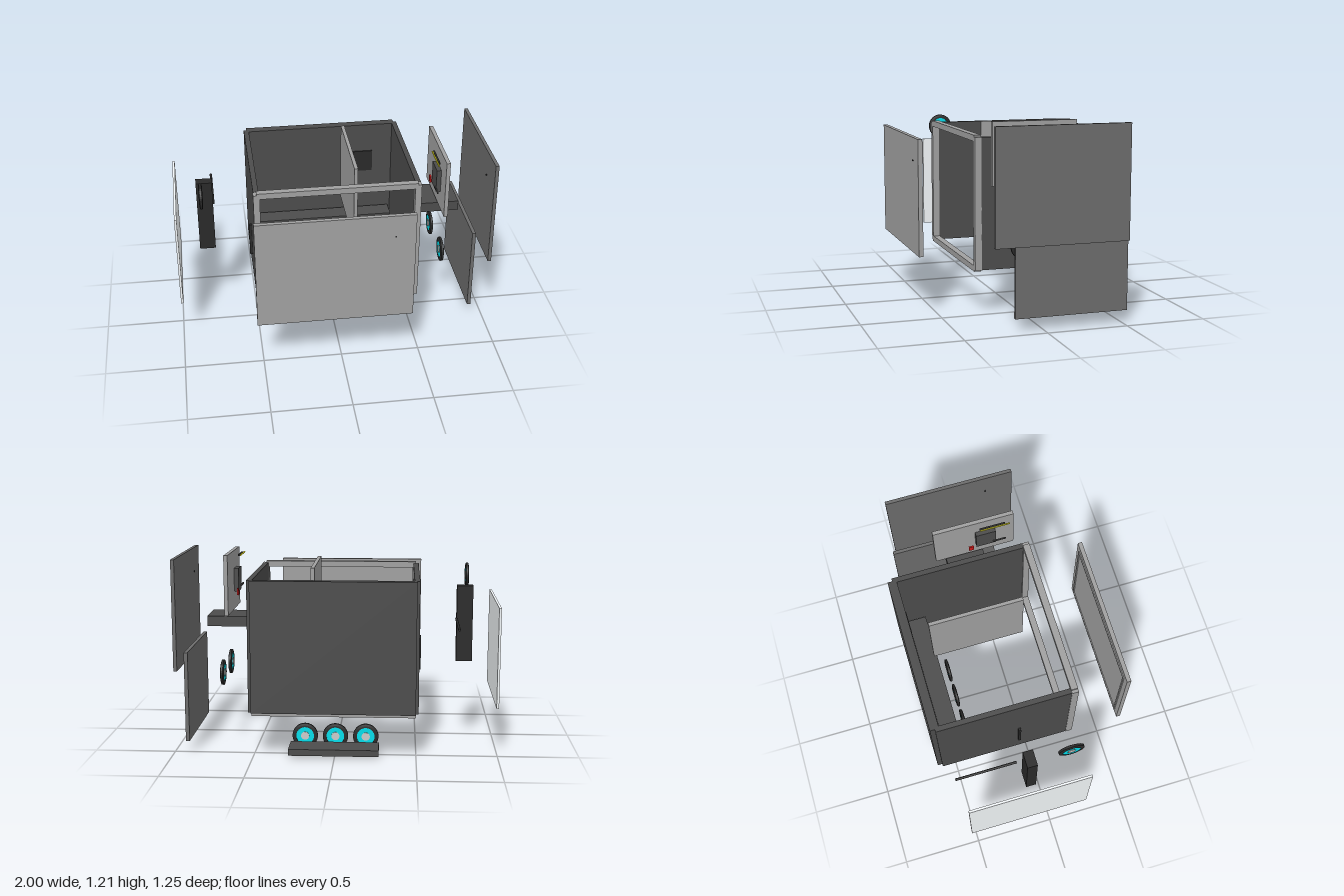
import * as THREE from 'three';

const mat = (color) => new THREE.MeshStandardMaterial({ color });
const M = {
  light: mat(0xa0a0a0), mid: mat(0x6c6c6c), dark: mat(0x4c4c4c), black: mat(0x2a2a2a),
  white: mat(0xf2f6f8), cyan: mat(0x00dcea), hub: mat(0xcccccc), red: mat(0xd01818), yellow: mat(0xe0d818),
};

export function createModel() {
  const model = new THREE.Group();
  model.name = 'explodedCase';

  // Box given by its extents along each axis
  const box = (name, material, [x0, x1], [y0, y1], [z0, z1]) => {
    const m = new THREE.Mesh(new THREE.BoxGeometry(x1 - x0, y1 - y0, z1 - z0), material);
    m.position.set((x0 + x1) / 2, (y0 + y1) / 2, (z0 + z1) / 2);
    m.name = name;
    model.add(m);
    return m;
  };

  // Round bar along z
  const rod = (name, material, r, x, y, z0, z1) => {
    const m = new THREE.Mesh(new THREE.CylinderGeometry(r, r, z1 - z0, 16), material);
    m.rotation.x = Math.PI / 2;
    m.position.set(x, y, (z0 + z1) / 2);
    m.name = name;
    model.add(m);
  };

  // Fan: tapered rim, coloured disc and hub, axis along z
  const fan = (name, x, y, z, sideways = false) => {
    const g = new THREE.Group();
    g.name = name;
    const rimProfile = [[0.056, -0.012], [0.066, -0.011], [0.08, -0.007], [0.08, 0.007],
      [0.066, 0.011], [0.056, 0.012], [0.056, -0.012]].map(([r, h]) => new THREE.Vector2(r, h));
    const rimMaterial = M.black.clone();
    rimMaterial.flatShading = true;
    const parts = [
      ['fanRim', new THREE.LatheGeometry(rimProfile, 40), rimMaterial],
      ['fanDisc', new THREE.CylinderGeometry(0.058, 0.058, 0.018, 40), M.cyan],
      ['fanHub', new THREE.CylinderGeometry(0.026, 0.026, 0.024, 24), M.hub],
    ];
    for (const [partName, geometry, material] of parts) {
      const m = new THREE.Mesh(geometry.rotateX(Math.PI / 2), material);
      m.name = partName;
      g.add(m);
    }
    if (sideways) g.rotation.y = Math.PI / 2;
    g.position.set(x, y, z);
    model.add(g);
  };

  // Case shell: side walls and back wall
  box('leftWall', M.dark, [0.492, 0.525], [0.285, 1.096], [-0.597, 0.255]);
  box('rightWall', M.dark, [-0.512, -0.479], [0.285, 1.096], [-0.597, 0.255]);
  box('backWall', M.dark, [-0.495, 0.505], [0.285, 1.096], [-0.627, -0.57]);

  // Open front frame
  box('frontFramePost', M.light, [0.485, 0.525], [0.285, 1.096], [0.252, 0.295]);
  box('frontFramePost', M.light, [-0.515, -0.475], [0.285, 1.096], [0.252, 0.295]);
  box('frontFrameTop', M.light, [-0.495, 0.505], [1.07, 1.108], [0.252, 0.295]);
  box('frontFrameBottom', M.light, [-0.495, 0.505], [0.274, 0.31], [0.252, 0.295]);

  // Rear floor tray, compartment above it and plate on the back wall
  box('floorTray', M.light, [-0.495, 0.505], [0.26, 0.31], [-0.59, -0.485]);
  box('rearCompartment', M.dark, [-0.457, 0.475], [0.318, 0.47], [-0.555, -0.435]);
  box('backPlate', M.black, [0.23, 0.36], [0.75, 0.9], [-0.572, -0.562]);

  // Inner divider and grip on the right wall
  box('divider', M.light, [0.127, 0.15], [0.62, 1.155], [-0.46, 0.142]);
  box('wallGrip', M.black, [-0.53, -0.511], [0.45, 0.675], [-0.082, -0.066]);

  // Front door with a raised lip on its inner face
  box('frontDoor', M.light, [-0.537, 0.43], [0.37, 1.085], [0.593, 0.62]);
  for (const x of [-0.495, 0.38]) box('doorLipSide', M.light, [x, x + 0.012], [0.41, 1.04], [0.586, 0.594]);
  for (const y of [0.41, 1.028]) box('doorLipEdge', M.light, [-0.495, 0.392], [y, y + 0.012], [0.586, 0.594]);
  box('frontDoorKnob', M.black, [0.301, 0.309], [0.941, 0.949], [0.619, 0.625]);

  // Side panels pulled away from the case
  box('upperSidePanel', M.mid, [0.975, 0.997], [0.513, 1.205], [-0.507, 0.318]);
  box('sidePanelKnob', M.black, [0.968, 0.976], [1.046, 1.054], [0.136, 0.144]);
  box('lowerSidePanel', M.mid, [0.903, 0.926], [0.076, 0.637], [-0.53, 0.173]);
  box('rightSidePanel', M.white, [-1, -0.985], [0.31, 0.93], [-0.535, 0.237]);

  // Mounting board with block and sticks
  box('board', M.light, [0.685, 0.71], [0.825, 1.205], [-0.28, 0.245]);
  box('boardBlock', M.dark, [0.656, 0.686], [0.94, 1.09], [-0.01, 0.12]);
  box('boardRail', M.dark, [0.65, 0.657], [0.96, 0.972], [0.1, 0.185]);
  box('redStick', M.red, [0.65, 0.66], [0.922, 0.965], [-0.062, -0.03]);
  rod('yellowStick', M.yellow, 0.005, 0.645, 1.173, 0.015, 0.21);
  box('stickTip', M.black, [0.648, 0.66], [1.167, 1.179], [0.015, 0.18]);

  // Drive box with a thin pad beneath
  box('driveBox', M.dark, [0.545, 0.83], [0.745, 0.81], [-0.212, 0.037]);
  box('drivePad', M.black, [0.635, 0.74], [0.734, 0.746], [-0.14, -0.035]);

  // Tall block with a loose rod
  box('tallBlock', M.black, [-0.855, -0.753], [0.52, 1.005], [-0.13, -0.066]);
  rod('looseRod', M.black, 0.008, -0.75, 0.8, -0.555, -0.165);

  // Lower slab and fans
  box('footSlab', M.dark, [-0.27, 0.283], [0.015, 0.055], [-0.602, -0.422]);
  for (const x of [-0.186, 0.005, 0.196]) fan('bottomFan', x, 0.08, -0.372);
  for (const z of [-0.285, 0.055]) fan('leftFan', 0.723, 0.462, z, true);
  fan('rightFan', -0.828, 1.037, 0.15, true);

  return model;
}
